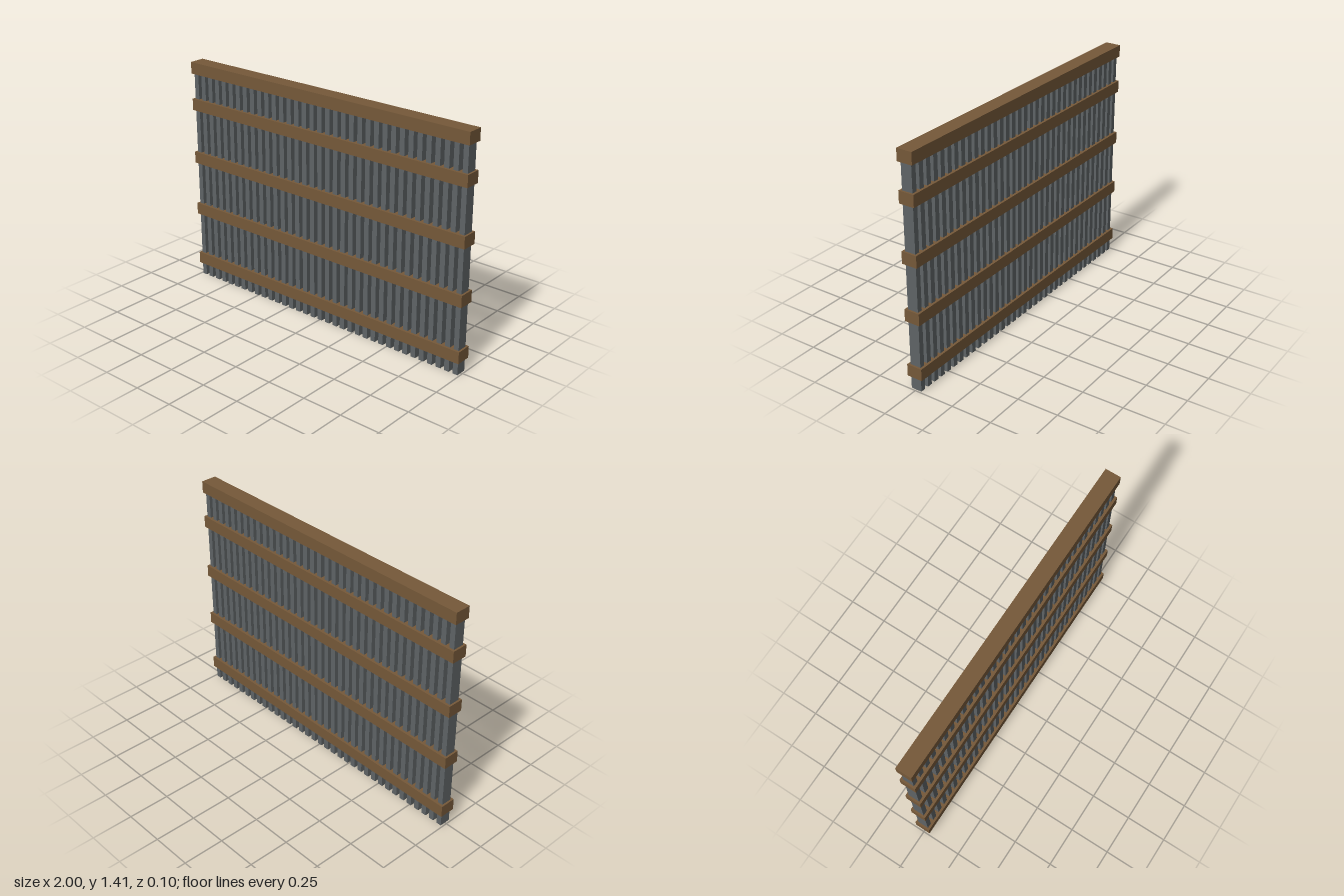
import * as THREE from 'three';

export function createModel() {
  const group = new THREE.Group();
  const wood = new THREE.MeshStandardMaterial({ color: 0x765939 });
  wood.name = 'brown wood';
  const metal = new THREE.MeshStandardMaterial({ color: 0x5f6466 });
  metal.name = 'grey metal';

  // Horizontal rails
  const railGeometry = new THREE.BoxGeometry(2, 0.072, 0.096);
  [0.116, 0.458, 0.801, 1.144, 1.374].forEach((y, i) => {
    const rail = new THREE.Mesh(railGeometry, wood);
    rail.name = `rail${i + 1}`;
    rail.position.y = y;
    group.add(rail);
  });

  // Evenly spaced upright bars, running through the rails
  const barCount = 35;
  const barHeight = 1.375;
  const spacing = 0.0572;
  const barGeometry = new THREE.BoxGeometry(0.032, barHeight, 0.067);
  for (let i = 0; i < barCount; i++) {
    const bar = new THREE.Mesh(barGeometry, metal);
    bar.name = `bar${i + 1}`;
    bar.position.set((i - (barCount - 1) / 2) * spacing, barHeight / 2, 0);
    group.add(bar);
  }

  return group;
}
